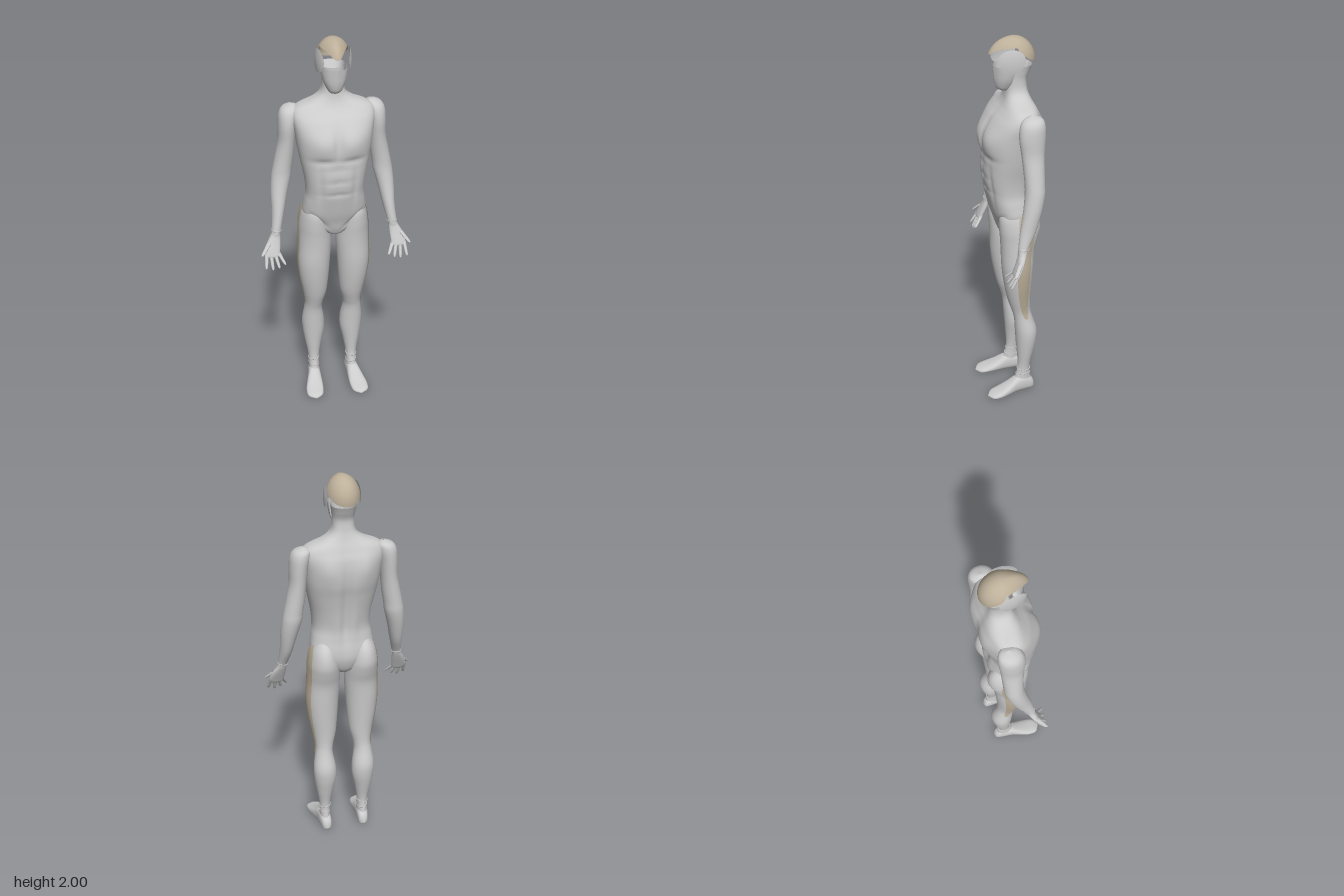
import * as THREE from 'three';
import { mergeVertices } from 'three/addons/utils/BufferGeometryUtils.js';

const grey = new THREE.MeshStandardMaterial({ color: 0xcccccc, side: THREE.DoubleSide });
const tan = new THREE.MeshStandardMaterial({ color: 0xbdb09a, side: THREE.DoubleSide });
const TAU = Math.PI * 2;
const bump = (d, w) => Math.exp(-(d * d) / (w * w));
const spow = (v, e) => Math.sign(v) * Math.pow(Math.abs(v), e);

// Smooth grid surface from fn(u, v) => [x, y, z]
function surface(fn, nu, nv) {
  const pos = [], idx = [];
  for (let j = 0; j <= nv; j++)
    for (let i = 0; i <= nu; i++) pos.push(...fn(i / nu, j / nv));
  for (let j = 0; j < nv; j++)
    for (let i = 0; i < nu; i++) {
      const a = j * (nu + 1) + i, b = a + 1, c = a + nu + 1, d = c + 1;
      idx.push(a, b, d, a, d, c);
    }
  let geo = new THREE.BufferGeometry();
  geo.setAttribute('position', new THREE.Float32BufferAttribute(pos, 3));
  geo.setIndex(idx);
  geo = mergeVertices(geo, 1e-5);
  geo.computeVertexNormals();
  return geo;
}

// Body skin through rows [y, centre x, half width, front z, back z], listed upwards
function skin(rows, e = 1) {
  return (a, t) => {
    const f = t * (rows.length - 1), i = Math.min(Math.floor(f), rows.length - 2), s = f - i;
    const row = k => rows[Math.max(0, Math.min(rows.length - 1, k))];
    const [y, cx, rx, zf, zb] = rows[0].map((_, c) => {
      const [p, q, r, w] = [row(i - 1)[c], row(i)[c], row(i + 1)[c], row(i + 2)[c]];
      return q + 0.5 * s * (r - p + s * (2 * p - 5 * q + 4 * r - w + s * (3 * (q - r) + w - p)));
    });
    return [cx + rx * spow(Math.sin(a), e), y, (zf + zb) / 2 + (zf - zb) / 2 * spow(Math.cos(a), e)];
  };
}
function loft(rows, nu = 32, e = 1) {
  const p = skin(rows, e);
  return surface((u, v) => p(u * TAU, v), nu, (rows.length - 1) * 4);
}
function mesh(name, geo, mat = grey) {
  const m = new THREE.Mesh(geo, mat);
  m.name = name;
  return m;
}

const torsoRows = [
  [0.955, 0, 0.012, 0.01, -0.05], [0.97, 0, 0.04, 0.05, -0.075], [1.0, 0, 0.09, 0.068, -0.095],
  [1.05, 0, 0.142, 0.082, -0.11], [1.1, 0, 0.163, 0.098, -0.11], [1.16, 0, 0.157, 0.113, -0.1],
  [1.22, 0, 0.148, 0.126, -0.095], [1.3, 0, 0.155, 0.138, -0.107], [1.4, 0, 0.175, 0.138, -0.128],
  [1.47, 0, 0.187, 0.138, -0.144], [1.54, 0, 0.197, 0.128, -0.148], [1.6, 0, 0.207, 0.098, -0.14],
  [1.64, 0, 0.203, 0.065, -0.125], [1.665, 0, 0.175, 0.045, -0.115], [1.69, 0, 0.112, 0.032, -0.104],
  [1.715, 0, 0.074, 0.025, -0.095], [1.745, 0, 0.057, 0.022, -0.088], [1.79, 0, 0.053, 0.022, -0.085],
  [1.83, 0, 0.057, 0.024, -0.1], [1.86, 0, 0.062, 0.025, -0.113],
];
// Muscle relief pushed into the trunk along z
function relief([x, y, z]) {
  const ax = Math.abs(x);
  if (z > 0) {
    z += 0.016 * bump(ax - 0.075, 0.07) * bump(y - 1.5, 0.065);
    z -= 0.012 * bump(x, 0.012) * bump(y - 1.53, 0.09);
    z -= 0.008 * bump(y - 1.415, 0.016) * bump(ax - 0.07, 0.06);
    z -= 0.005 * bump(x, 0.01) * bump(y - 1.29, 0.11);
    for (const g of [1.37, 1.3, 1.23]) z -= 0.005 * bump(y - g, 0.01) * bump(x, 0.07);
    z -= 0.007 * bump(ax - 0.085, 0.014) * bump(y - 1.27, 0.1);
    z -= 0.007 * bump(y - 1.06 - (ax - 0.08) * 0.9, 0.014) * bump(ax - 0.09, 0.05);
  } else if (z < -0.04) {
    z += 0.017 * bump(x, 0.025) * bump(y - 1.4, 0.25);
    z -= 0.01 * bump(ax - 0.095, 0.045) * bump(y - 1.56, 0.08);
    z -= 0.007 * bump(ax - 0.04, 0.025) * bump(y - 1.22, 0.1);
  }
  return [x, y, z];
}

const legRows = [
  [0.03, 0.106, 0.028, 0.02, -0.1], [0.11, 0.106, 0.028, -0.008, -0.085], [0.17, 0.106, 0.031, -0.018, -0.085],
  [0.25, 0.106, 0.045, -0.014, -0.102], [0.33, 0.104, 0.059, -0.008, -0.118], [0.4, 0.106, 0.06, -0.003, -0.12],
  [0.48, 0.107, 0.048, 0.004, -0.096], [0.53, 0.103, 0.049, 0.017, -0.086], [0.6, 0.1, 0.063, 0.038, -0.085],
  [0.7, 0.104, 0.077, 0.058, -0.09], [0.8, 0.105, 0.085, 0.07, -0.096], [0.9, 0.1, 0.086, 0.073, -0.103],
  [0.97, 0.1, 0.084, 0.077, -0.122], [1.03, 0.102, 0.079, 0.082, -0.133], [1.1, 0.103, 0.063, 0.08, -0.118],
  [1.16, 0.1, 0.035, 0.05, -0.07],
];
const armRows = [
  [0.985, 0.31, 0.024, 0.05, 0.008], [1.02, 0.303, 0.025, 0.047, -0.006], [1.1, 0.29, 0.032, 0.034, -0.048],
  [1.2, 0.278, 0.043, 0.014, -0.08], [1.28, 0.264, 0.05, 0.002, -0.098], [1.33, 0.256, 0.049, 0, -0.1],
  [1.4, 0.243, 0.047, 0.003, -0.102], [1.48, 0.231, 0.043, 0.01, -0.105], [1.56, 0.225, 0.047, 0.019, -0.111],
  [1.62, 0.216, 0.05, 0.012, -0.112], [1.652, 0.207, 0.038, -0.01, -0.1], [1.667, 0.2, 0.002, -0.05, -0.06],
];
const palmRows = [
  [0.875, 0.33, 0.004, 0.073, 0.067], [0.885, 0.331, 0.034, 0.081, 0.058], [0.91, 0.331, 0.039, 0.074, 0.045],
  [0.95, 0.322, 0.035, 0.06, 0.025], [0.985, 0.311, 0.026, 0.049, 0.009], [1.005, 0.306, 0.023, 0.046, 0.002],
];
// Foot sections run from heel to toe: [z, centre x, half width, sole, -top]
const footRows = [
  [-0.112, 0.103, 0.004, -0.02, -0.03], [-0.1, 0.103, 0.024, -0.001, -0.065], [-0.06, 0.106, 0.032, 0, -0.095],
  [-0.01, 0.11, 0.035, 0, -0.093], [0.04, 0.117, 0.043, 0, -0.064], [0.09, 0.124, 0.048, 0, -0.04],
  [0.135, 0.127, 0.04, 0, -0.025], [0.158, 0.126, 0.006, -0.005, -0.014],
];

// Tapered finger between a knuckle and its tip
function finger(base, tip, r) {
  const rows = [[0, 0.15], [0.06, 0.6], [0.25, 0.85], [0.6, 0.95], [1, 1.1]].map(([t, k]) => {
    const [x, y, z] = base.map((b, i) => tip[i] + (b - tip[i]) * t);
    return [y, x, r * k, z + r * k, z - r * k];
  });
  return loft(rows, 12);
}

function buildSide() {
  const side = new THREE.Group();
  side.add(mesh('leg', loft(legRows, 40)), mesh('arm', loft(armRows, 32)));
  side.add(mesh('foot', loft(footRows, 28, 0.8).rotateX(Math.PI / 2)));

  // Outer thigh panel follows the leg just above its skin
  const leg = skin(legRows);
  side.add(mesh('thighPanel', surface((u, v) => {
    const half = 0.06 + 0.42 * Math.sqrt(Math.sin(Math.PI * (0.04 + 0.9 * v)));
    const p = leg(1.72 + (u - 0.5) * 2 * half, 0.41 + 0.56 * v);
    return [p[0] + 0.003, p[1], p[2]];
  }, 14, 40), tan));

  // Hand with the palm turned forward
  const hand = new THREE.Group();
  hand.name = 'hand';
  hand.add(mesh('palm', loft(palmRows, 24, 0.85)));
  [[0.301, 0.272, 0.848], [0.32, 0.303, 0.83], [0.341, 0.336, 0.822], [0.362, 0.371, 0.832]].forEach(([bx, tx, ty], i) =>
    hand.add(mesh('finger' + (i + 1), finger([bx, 0.9, 0.063], [tx, ty, 0.105], 0.0095))));
  hand.add(mesh('thumb', finger([0.343, 0.955, 0.045], [0.388, 0.9, 0.088], 0.012)));
  side.add(hand);

  // Bands round the wrist and ankle
  const band = (name, x, y, z, rx, rz, tilt) => {
    const b = mesh(name, new THREE.TorusGeometry(1, 0.08, 6, 32).rotateX(Math.PI / 2).scale(rx, 0.035, rz));
    b.position.set(x, y, z);
    b.rotation.z = tilt;
    side.add(b);
  };
  band('wristBand', 0.304, 1.012, 0.021, 0.025, 0.027, 0.1);
  band('ankleBandLower', 0.106, 0.11, -0.047, 0.029, 0.039, 0.2);
  band('ankleBandUpper', 0.106, 0.145, -0.051, 0.03, 0.036, -0.15);

  // Oval plate over the ear
  side.add(mesh('earPlate', surface((u, v) => {
    const r = 1 - v, z = 0.008 + 0.066 * r * Math.sin(u * TAU), y = 1.897 + 0.057 * r * Math.cos(u * TAU);
    const k = 1 - ((z + 0.018) / 0.13) ** 2 - ((y - 1.885) / 0.16) ** 2;
    return [0.088 * Math.sqrt(k), y, z];
  }, 32, 8)));
  return side;
}

export function createModel() {
  const model = new THREE.Group();
  model.name = 'figure';

  const trunk = skin(torsoRows, 0.82);
  model.add(mesh('torsoAndNeck', surface((u, v) => relief(trunk(u * TAU, v)), 96, 130)));

  // Face mask: open shell round the front of the jaw
  const jaw = skin([
    [1.738, 0, 0.024, 0.048, 0], [1.752, 0, 0.036, 0.064, -0.02], [1.79, 0, 0.054, 0.073, -0.045],
    [1.83, 0, 0.064, 0.076, -0.06], [1.862, 0, 0.067, 0.078, -0.062],
  ]);
  model.add(mesh('faceMask', surface((u, v) => {
    const a = (u - 0.5) * 3.7, p = jaw(a, v);
    return [p[0], p[1], p[2] + 0.006 * bump(a, 0.25) * v];
  }, 40, 16)));

  // Skull cap: raised over the ears, arched over the brows, lower at the back
  model.add(mesh('skullCap', surface((u, v) => {
    const a = u * TAU, c = Math.cos(a);
    const edge = c > 0 ? 1.958 - 0.03 * c ** 8 - 0.008 * c : 1.958 - 0.088 * Math.pow(-c, 0.7);
    const t = Math.acos((edge - 1.885) / 0.115) * (1 - v), s = Math.sin(t);
    const front = Math.max(c, 0);
    return [0.086 * s * Math.sin(a) * (1 - 0.15 * front), 1.885 + 0.115 * Math.cos(t),
      -0.02 + (0.108 + 0.022 * front ** 3) * s * c];
  }, 64, 20), tan));

  const left = buildSide(), right = left.clone();
  left.name = 'leftSide';
  right.name = 'rightSide';
  right.scale.x = -1;
  model.add(left, right);
  return model;
}
